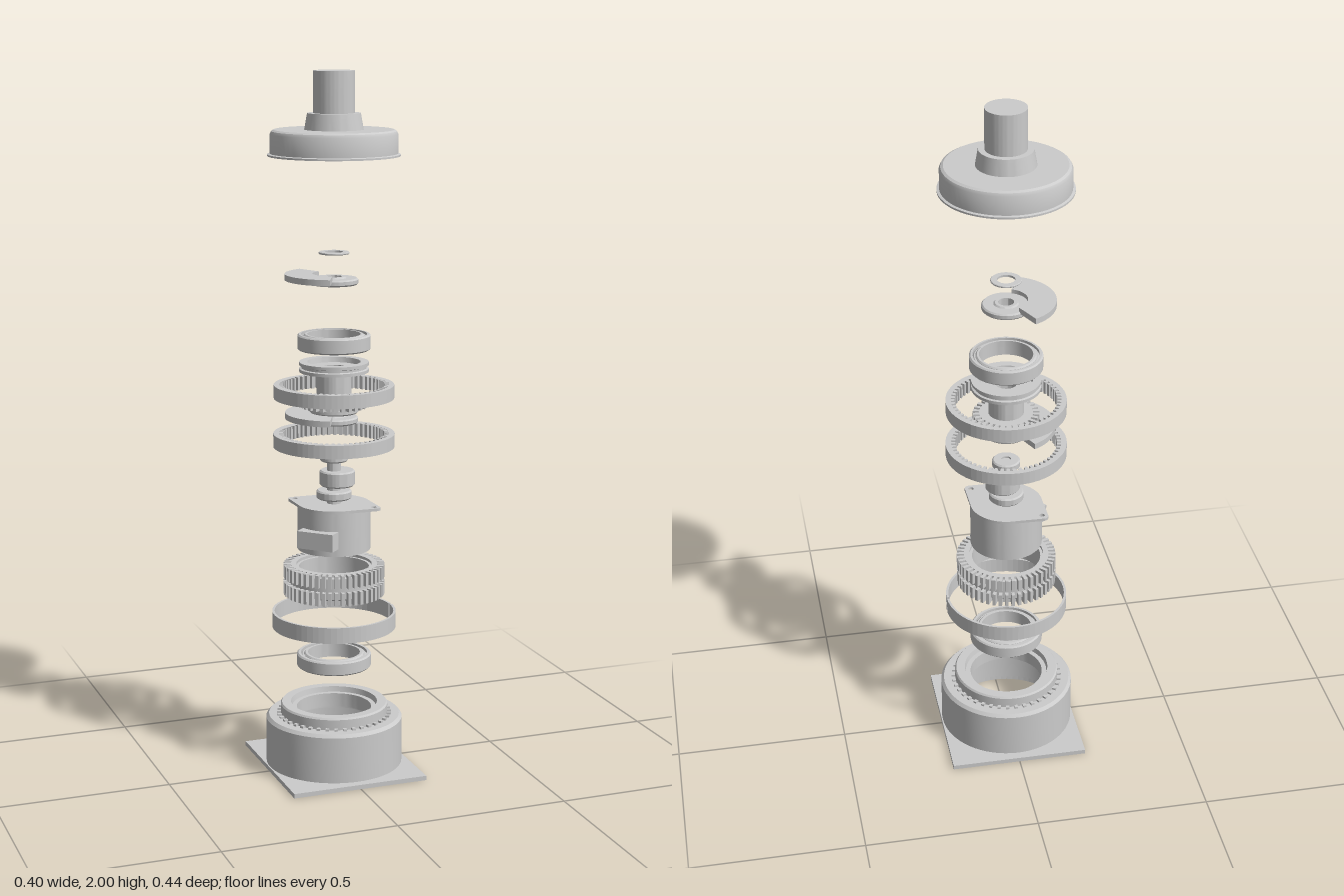
import * as THREE from 'three';
import { toCreasedNormals } from 'three/addons/utils/BufferGeometryUtils.js';

const material = new THREE.MeshStandardMaterial({ color: 0xcccccc });
const SEG = 64;

export function createModel() {
  const model = new THREE.Group();

  function add(name, geometry, x = 0, y = 0, z = 0, parent = model) {
    const mesh = new THREE.Mesh(geometry, material);
    mesh.name = name;
    mesh.position.set(x, y, z);
    parent.add(mesh);
    return mesh;
  }

  // Turned part; the [radius, y] profile runs up the outside and down the inside
  function turned(name, profile, x = 0, y = 0, z = 0, parent = model) {
    const pts = profile.map(([r, h]) => new THREE.Vector2(r, h));
    const g = new THREE.LatheGeometry(pts, SEG).toNonIndexed();
    return add(name, toCreasedNormals(g, 0.5), x, y, z, parent);
  }

  // Plain ring with slightly broken edges
  function ring(name, outer, inner, y0, y1, x = 0, z = 0, parent = model) {
    const c = Math.min(0.004, (y1 - y0) / 4);
    return turned(name, [[inner, y0], [outer - c, y0], [outer, y0 + c], [outer, y1 - c],
      [outer - c, y1], [inner, y1], [inner, y0]], x, 0, z, parent);
  }

  function disc(name, r, y0, y1, x = 0, z = 0, parent = model) {
    return turned(name, [[0, y0], [r, y0], [r, y1], [0, y1]], x, 0, z, parent);
  }

  // Flat shape pushed upward from y0 to y1
  function plate(name, shape, y0, y1, parent = model) {
    const g = new THREE.ExtrudeGeometry(shape, { depth: y1 - y0, bevelEnabled: false, curveSegments: 32 });
    g.rotateX(-Math.PI / 2);
    return add(name, g, 0, y0, 0, parent);
  }

  function hole(shape, r, x = 0, y = 0) {
    const path = new THREE.Path();
    path.absarc(x, y, r, 0, Math.PI * 2, true);
    shape.holes.push(path);
    return shape;
  }

  // Outline alternating between root and tip radius
  function toothPoints(root, tip, count) {
    const pts = [];
    const step = (Math.PI * 2) / count;
    for (let i = 0; i < count; i++) {
      for (const [f, r] of [[0, root], [0.4, root], [0.45, tip], [0.95, tip]]) {
        const a = (i + f) * step;
        pts.push(new THREE.Vector2(r * Math.cos(a), r * Math.sin(a)));
      }
    }
    return pts;
  }

  function outerGear(name, root, tip, inner, count, y0, y1) {
    return plate(name, hole(new THREE.Shape(toothPoints(root, tip, count)), inner), y0, y1);
  }

  function innerGear(name, outer, root, tip, count, y0, y1) {
    const shape = new THREE.Shape();
    shape.absarc(0, 0, outer, 0, Math.PI * 2, false);
    shape.holes.push(new THREE.Path(toothPoints(root, tip, count).reverse()));
    return plate(name, shape, y0, y1);
  }

  // Bearing: two races with balls between them
  function bearing(name, outer, inner, y0, y1) {
    const group = new THREE.Group();
    group.name = name;
    model.add(group);
    const mid = (outer + inner) / 2, gap = (outer - inner) * 0.14;
    ring('outerRace', outer, mid + gap, y0, y1, 0, 0, group);
    ring('innerRace', mid - gap, inner, y0, y1, 0, 0, group);
    ring('shield', mid + gap, mid - gap, y0 + 0.005, y1 - 0.005, 0, 0, group);
  }

  // Base plate and hollow base housing
  const square = new THREE.Shape([[-0.2, -0.222], [0.2, -0.222], [0.2, 0.222], [-0.2, 0.222]]
    .map(([x, y]) => new THREE.Vector2(x, y)));
  plate('basePlate', hole(square, 0.18), 0, 0.013);
  turned('baseHousing', [[0.18, 0.01], [0.197, 0.01], [0.197, 0.147], [0.189, 0.156], [0.155, 0.156],
    [0.155, 0.186], [0.151, 0.191], [0.125, 0.191], [0.122, 0.175], [0.108, 0.175], [0.108, 0.135],
    [0.125, 0.135], [0.125, 0.125], [0.18, 0.125], [0.18, 0.01]]);
  for (let i = 0; i < 40; i++) {
    const a = (i / 40) * Math.PI * 2;
    const lug = add('baseLug', new THREE.BoxGeometry(0.012, 0.008, 0.01),
      0.16 * Math.cos(a), 0.158, 0.16 * Math.sin(a));
    lug.rotation.y = -a;
  }

  bearing('lowerBearing', 0.107, 0.075, 0.3, 0.34);

  // Thin split band, open at +x
  const band = new THREE.Shape();
  band.absarc(0, 0, 0.178, 0.025, Math.PI * 2 - 0.025, false);
  band.absarc(0, 0, 0.171, Math.PI * 2 - 0.025, 0.025, true);
  plate('splitBand', band, 0.42, 0.466);

  // Slotted stator in two layers
  outerGear('statorLowerTeeth', 0.124, 0.145, 0.108, 48, 0.518, 0.556);
  ring('statorCore', 0.13, 0.1, 0.53, 0.598);
  outerGear('statorUpperTeeth', 0.124, 0.145, 0.108, 48, 0.568, 0.606);

  // Motor can, eared flange and side connector
  disc('motorCan', 0.104, 0.652, 0.778);
  const flange = new THREE.Shape();
  const k = 0.72;
  flange.absarc(0, 0, 0.104, k, Math.PI - k, false);
  flange.absarc(-0.128, 0, 0.015, Math.PI - k, Math.PI + k, false);
  flange.absarc(0, 0, 0.104, Math.PI + k, Math.PI * 2 - k, false);
  flange.absarc(0.128, 0, 0.015, -k, k, false);
  hole(hole(flange, 0.008, 0.124, 0), 0.008, -0.124, 0);
  plate('motorFlange', flange, 0.776, 0.784).rotation.y = -Math.PI / 4;
  const connector = add('motorConnector', new THREE.BoxGeometry(0.07, 0.05, 0.11),
    -0.093 * Math.SQRT1_2, 0.7, 0.093 * Math.SQRT1_2);
  connector.rotation.y = Math.PI / 4;

  // Cam shaft with stacked bearings
  disc('camShaft', 0.02, 0.78, 0.925);
  ring('shaftLowerBearing', 0.05, 0.018, 0.798, 0.823);
  ring('camDisc', 0.05, 0.01, 0.835, 0.88, 0.01);
  ring('shaftUpperBearing', 0.04, 0.014, 0.907, 0.93);

  // Internal ring gears
  innerGear('lowerRingGear', 0.172, 0.156, 0.144, 56, 0.95, 0.988);
  innerGear('upperRingGear', 0.17, 0.155, 0.144, 56, 1.09, 1.128);

  // Counterweight: hub disc and annular sector on the -x side
  function counterweight(name, y) {
    const group = new THREE.Group();
    group.name = name;
    model.add(group);
    const half = 1.14;
    const sector = (inner, outer) => {
      const s = new THREE.Shape();
      s.absarc(0, 0, outer, Math.PI - half, Math.PI + half, false);
      s.absarc(0, 0, inner, Math.PI + half, Math.PI - half, true);
      return s;
    };
    plate('weightSector', sector(0.06, 0.138), y + 0.017, y + 0.034, group);
    ring('weightHub', 0.068, 0.022, y + 0.004, y + 0.022, 0, 0, group);
    ring('weightCollar', 0.035, 0.022, y, y + 0.026, 0, 0, group);
  }
  counterweight('lowerCounterweight', 1.015);
  counterweight('upperCounterweight', 1.408);

  // Output carrier: toothed cone, hub and grooved disc
  outerGear('carrierTeeth', 0.076, 0.094, 0.03, 28, 1.064, 1.086);
  ring('carrierBase', 0.07, 0.03, 1.048, 1.066);
  ring('carrierHub', 0.05, 0.03, 1.06, 1.168);
  turned('carrierDisc', [[0.03, 1.165], [0.098, 1.165], [0.098, 1.174], [0.092, 1.176], [0.092, 1.182],
    [0.098, 1.184], [0.098, 1.193], [0.075, 1.193], [0.072, 1.178], [0.03, 1.178], [0.03, 1.165]]);

  bearing('upperBearing', 0.103, 0.075, 1.228, 1.272);
  ring('washer', 0.043, 0.025, 1.497, 1.503);

  // Hollow cap with collar and output post
  turned('cap', [[0.168, 1.768], [0.184, 1.768], [0.184, 1.773], [0.177, 1.775], [0.177, 1.828],
    [0.173, 1.836], [0.166, 1.84], [0.082, 1.84], [0.074, 1.885], [0.057, 1.885], [0.057, 2], [0, 2],
    [0, 1.985], [0.045, 1.985], [0.045, 1.81], [0.065, 1.81], [0.065, 1.828], [0.168, 1.828], [0.168, 1.768]]);

  return model;
}
